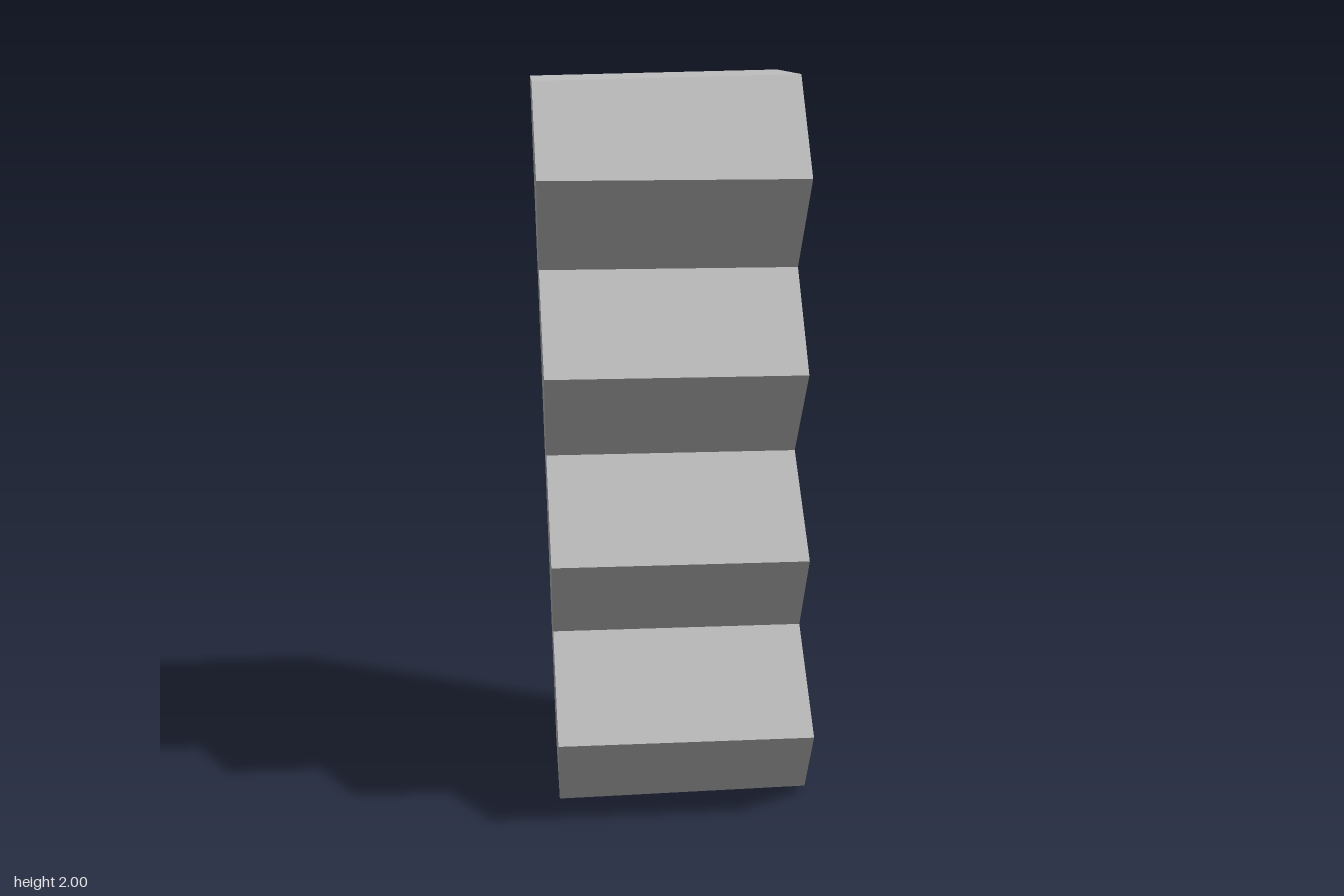
import * as THREE from 'three';

const TEETH = 4, TIP = 0.318, VALLEY = 0.107, BACK = -0.318;

// Side walls: the left leans steadily, the right flares out below mid-height
const leftX = (y) => -0.328 - 0.021 * y;
const rightX = (y) => 0.325 + 0.043 * Math.max(0, 1 - y);

// Depth of the zigzag front at a given height
function frontZ(y) {
  const t = (y * TEETH / 2) % 1;
  return VALLEY + (TIP - VALLEY) * (1 - Math.abs(2 * t - 1));
}

// Four corners of a horizontal section: front left, front right, back right, back left
function section(yL, yR) {
  const xL = leftX(yL), xR = rightX(yR);
  return [[xL, yL, frontZ(yL)], [xR, yR, frontZ(yR)], [xR, yR, BACK], [xL, yL, BACK]];
}

export function createModel() {
  const group = new THREE.Group();
  const grey = new THREE.MeshStandardMaterial({ color: 0xc0c0c0 });
  grey.name = 'plain grey';

  // Sections at every tip and valley; the end sections are slightly slanted
  const rows = 2 * TEETH;
  const rings = [];
  for (let i = 0; i <= rows; i++) {
    const y = (2 * i) / rows;
    rings.push(section(i === rows ? 1.985 : y, i === 0 ? 0.018 : y));
  }

  const points = [];
  const quad = (a, b, c, d) => points.push(...a, ...b, ...c, ...a, ...c, ...d);

  // Walls between neighbouring sections
  for (let i = 0; i < rows; i++) {
    const low = rings[i], high = rings[i + 1];
    for (let k = 0; k < 4; k++) {
      const n = (k + 1) % 4;
      quad(low[k], low[n], high[n], high[k]);
    }
  }
  // Top and bottom caps
  quad(...rings[rows]);
  quad(...[...rings[0]].reverse());

  const geometry = new THREE.BufferGeometry();
  geometry.setAttribute('position', new THREE.Float32BufferAttribute(points, 3));
  geometry.computeVertexNormals(); // unshared corners keep the faces flat

  const block = new THREE.Mesh(geometry, grey);
  block.name = 'toothedBlock';
  group.add(block);
  return group;
}
